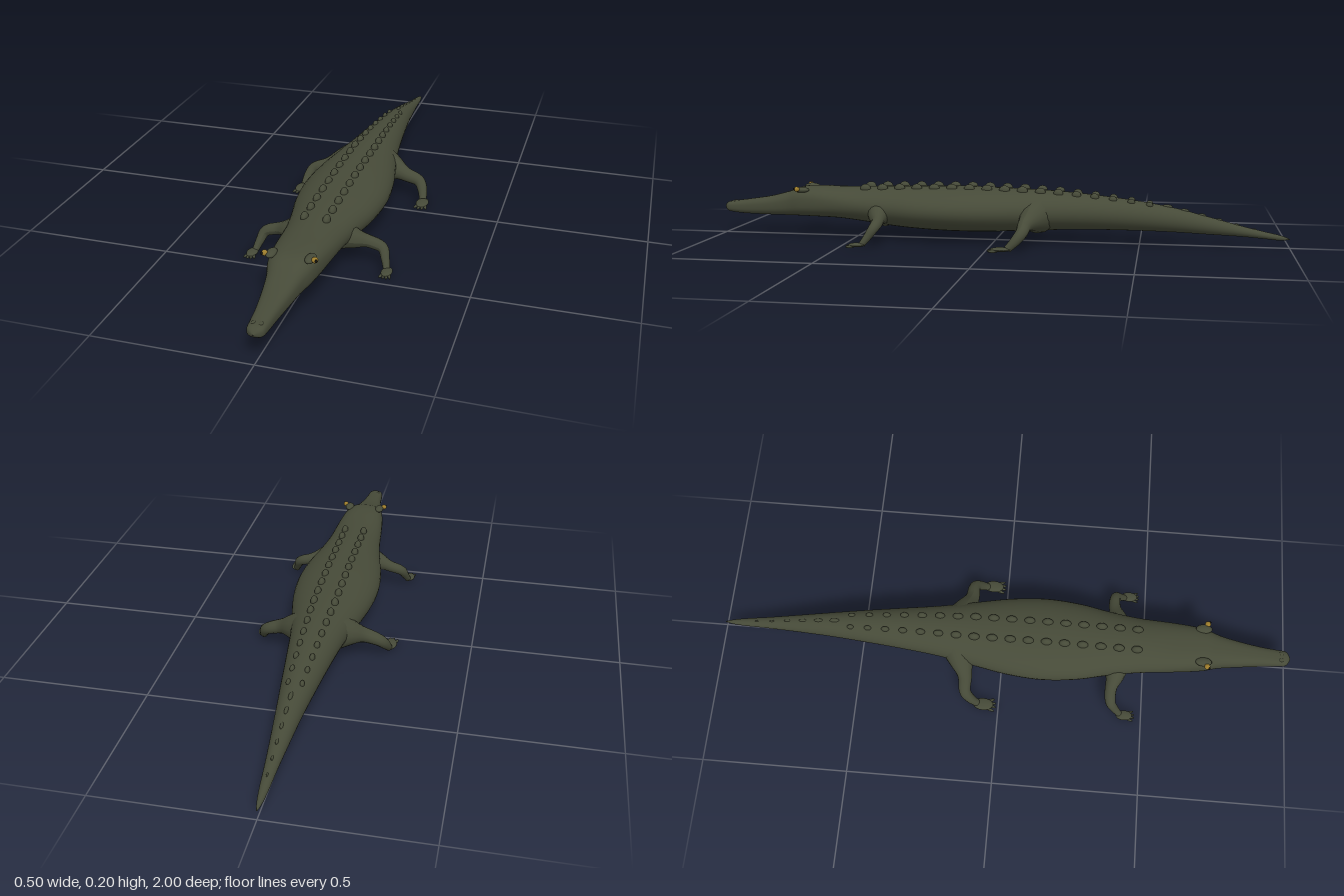
import * as THREE from 'three';

const mat = (name, color) => Object.assign(new THREE.MeshStandardMaterial({ color }), { name });

// Body stations: z, half width, bottom y, top y
const STATIONS = [
  [-1, 0.001, 0.03, 0.032], [-0.97, 0.008, 0.026, 0.043], [-0.92, 0.014, 0.03, 0.054],
  [-0.84, 0.02, 0.036, 0.072], [-0.74, 0.029, 0.04, 0.098], [-0.62, 0.041, 0.045, 0.127],
  [-0.5, 0.055, 0.047, 0.148], [-0.36, 0.072, 0.047, 0.165], [-0.22, 0.091, 0.043, 0.177],
  [-0.1, 0.115, 0.037, 0.182], [0.02, 0.138, 0.032, 0.185], [0.14, 0.148, 0.031, 0.186],
  [0.26, 0.138, 0.035, 0.184], [0.36, 0.117, 0.042, 0.182], [0.46, 0.1, 0.054, 0.179],
  [0.56, 0.09, 0.066, 0.177], [0.64, 0.081, 0.069, 0.178], [0.7, 0.071, 0.07, 0.174],
  [0.75, 0.056, 0.07, 0.157], [0.82, 0.044, 0.07, 0.138], [0.9, 0.033, 0.071, 0.125],
  [0.95, 0.029, 0.074, 0.118], [0.985, 0.024, 0.08, 0.113], [1, 0.001, 0.096, 0.098],
];
const column = (k) => new THREE.SplineCurve(STATIONS.map((s) => new THREE.Vector2(s[0], s[k])));
const WIDTH = column(1), BOTTOM = column(2), TOP = column(3);

// Straight interpolation of the back height, used to seat the scutes
function backHeight(z) {
  const i = Math.max(1, STATIONS.findIndex((s) => s[0] >= z));
  const a = STATIONS[i - 1], b = STATIONS[i];
  return THREE.MathUtils.lerp(a[3], b[3], (z - a[0]) / (b[0] - a[0]));
}

// Loft of rounded sections from tail tip to snout
function bodyGeometry() {
  const rings = 92, sides = 36, pos = [], index = [];
  for (let i = 0; i <= rings; i++) {
    const t = i / rings, { x: z, y: w } = WIDTH.getPoint(t);
    const lo = BOTTOM.getPoint(t).y, hi = TOP.getPoint(t).y;
    const power = 2 / (2 + 0.7 * THREE.MathUtils.smoothstep(z, 0.45, 0.7));
    for (let j = 0; j < sides; j++) {
      const a = (j / sides) * Math.PI * 2, c = Math.cos(a), s = Math.sin(a);
      pos.push(
        Math.sign(c) * Math.abs(c) ** power * Math.max(w, 0.001),
        (lo + hi) / 2 + Math.sign(s) * Math.abs(s) ** power * (hi - lo) / 2, z);
      if (i < rings) {
        const p = i * sides + j, q = i * sides + (j + 1) % sides;
        index.push(p, q, p + sides, q, q + sides, p + sides);
      }
    }
  }
  const g = new THREE.BufferGeometry();
  g.setAttribute('position', new THREE.Float32BufferAttribute(pos, 3));
  g.setIndex(index);
  g.computeVertexNormals();
  return g;
}

// Tube whose radius follows a list of values along its path
function limbGeometry(points, radii) {
  const n = 28, sides = 14;
  const curve = new THREE.CatmullRomCurve3(points.map((p) => new THREE.Vector3(...p)));
  const g = new THREE.TubeGeometry(curve, n, 1, sides, false);
  const radius = new THREE.SplineCurve(radii.map((r, i) => new THREE.Vector2(i, r)));
  const p = g.attributes.position, v = new THREE.Vector3();
  for (let i = 0; i <= n; i++) {
    const c = curve.getPointAt(i / n), r = Math.max(0.0005, radius.getPoint(i / n).y);
    for (let j = 0; j <= sides; j++) {
      const k = i * (sides + 1) + j;
      v.fromBufferAttribute(p, k).sub(c).multiplyScalar(r).add(c);
      p.setXYZ(k, v.x, v.y, v.z);
    }
  }
  g.computeVertexNormals();
  return g;
}

export function createModel() {
  const model = new THREE.Group();
  model.name = 'crocodile';
  const hide = mat('olive hide', 0x464a38);
  const gold = mat('eye gold', 0x9c7c2c);
  const black = mat('pupil black', 0x12120f);
  const ball = new THREE.SphereGeometry(1, 18, 12);

  const add = (parent, name, geometry, material, position = [0, 0, 0], scale = [1, 1, 1]) => {
    const mesh = new THREE.Mesh(geometry, material);
    mesh.name = name;
    mesh.position.set(...position);
    mesh.scale.set(...scale);
    parent.add(mesh);
    return mesh;
  };

  add(model, 'body', bodyGeometry(), hide);

  for (const side of [1, -1]) {
    const label = side > 0 ? 'left' : 'right';

    // Legs: root, elbow or knee, then shin down to the foot
    const legs = [
      { name: 'FrontLeg', foot: [0.224, 0.44], size: 0.9,
        path: [[0.06, 0.1, 0.4], [0.11, 0.088, 0.395], [0.155, 0.077, 0.385], [0.197, 0.062, 0.388],
          [0.21, 0.035, 0.405], [0.219, 0.01, 0.423]],
        radii: [0.05, 0.036, 0.022, 0.019, 0.015, 0.011] },
      { name: 'HindLeg', foot: [0.224, -0.053], size: 1.1,
        path: [[0.05, 0.1, -0.15], [0.105, 0.09, -0.135], [0.15, 0.077, -0.122], [0.197, 0.06, -0.118],
          [0.214, 0.034, -0.098], [0.221, 0.01, -0.075]],
        radii: [0.066, 0.048, 0.028, 0.022, 0.018, 0.013] },
    ];
    for (const { name, foot, size, path, radii } of legs) {
      const leg = new THREE.Group();
      leg.name = label + name;
      add(leg, 'limb', limbGeometry(path.map(([x, y, z]) => [x * side, y, z]), radii), hide);
      add(leg, 'foot', ball, hide, [foot[0] * side, 0.009, foot[1]],
        [0.02 * size, 0.007, 0.032 * size]);
      // Spread toes
      for (let i = -1.5; i <= 1.5; i++) {
        const toe = add(leg, 'toe', ball, hide,
          [foot[0] * side + i * 0.0095 * size, 0.005, foot[1] + (0.025 - 0.002 * i * i) * size],
          [0.005 * size, 0.005, 0.017 * size]);
        toe.rotation.y = i * 0.22;
      }
      model.add(leg);
    }

    // Brow, eye and pupil
    add(model, label + 'Brow', ball, hide, [0.06 * side, 0.169, 0.688], [0.016, 0.01, 0.028]);
    add(model, label + 'Eye', ball, gold, [0.077 * side, 0.173, 0.7], [0.01, 0.009, 0.01]);
    add(model, label + 'Pupil', ball, black, [0.083 * side, 0.174, 0.707], [0.004, 0.005, 0.004]);
    add(model, label + 'Nostril', ball, hide, [0.011 * side, 0.113, 0.965], [0.007, 0.005, 0.009]);

    // Paired rows of back scutes
    for (let i = 0; i < 17; i++) {
      const z = 0.46 - i * 0.062, fade = z < -0.1 ? 1 + (z + 0.1) * 0.9 : 1;
      const x = 0.036 * fade;
      add(model, label + 'Scute', ball, hide, [x * side, backHeight(z) - 0.004, z],
        [0.012 * fade, 0.017 * fade, 0.019 * fade]);
    }
  }

  // Single crest along the rear of the tail
  for (let i = 0; i < 6; i++) {
    const z = -0.59 - i * 0.058, s = 1 - i * 0.11;
    add(model, 'tailScute', ball, hide, [0, backHeight(z) - 0.002, z], [0.007 * s, 0.009 * s, 0.02 * s]);
  }
  return model;
}
